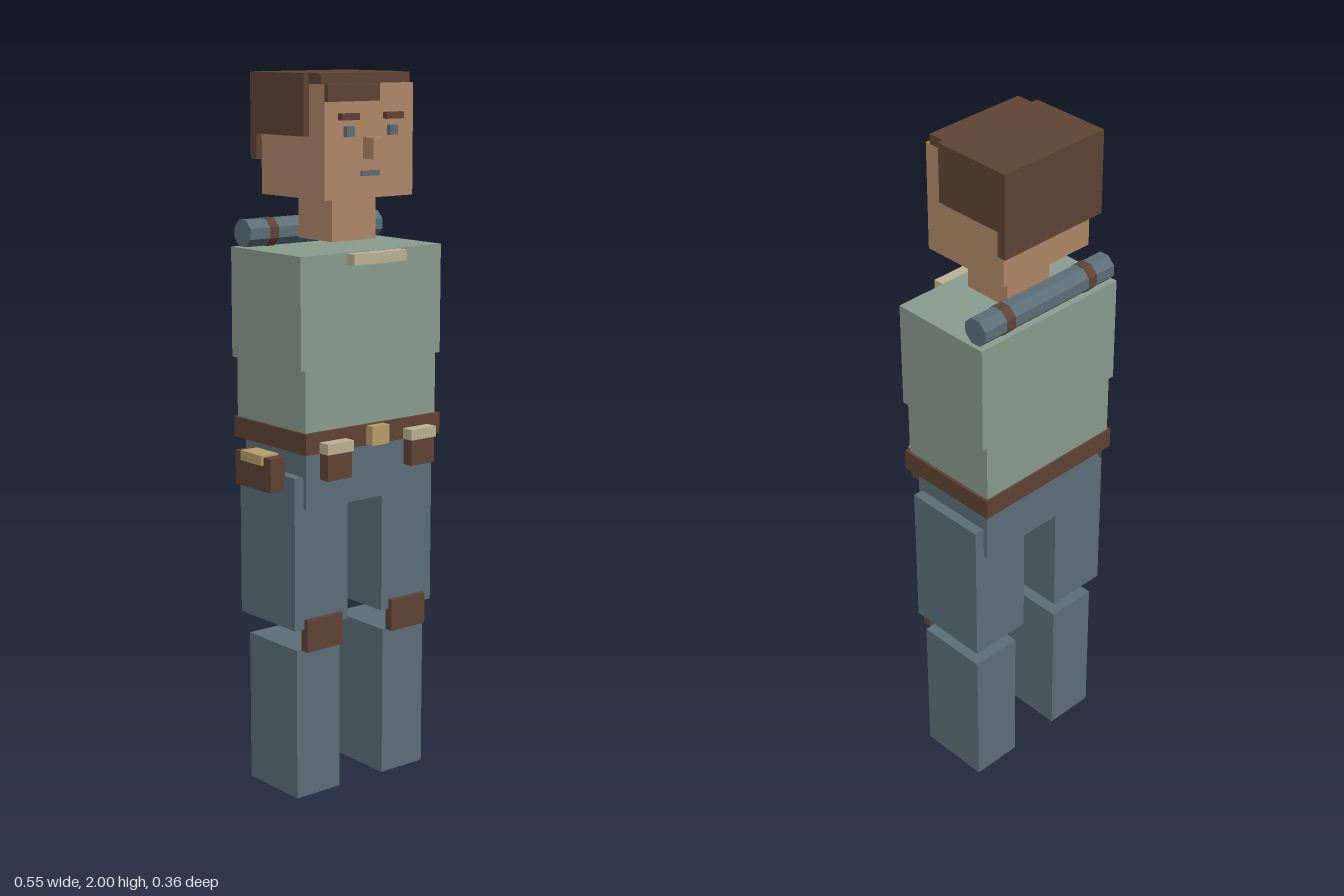
import * as THREE from 'three';

const mat = (name, color) => new THREE.MeshStandardMaterial({ name, color });

export function createModel() {
  const skin = mat('skin', 0xb08868);
  const brown = mat('brown leather and hair', 0x5f4434);
  const shirt = mat('sage shirt', 0x8a9c8f);
  const denim = mat('blue grey cloth', 0x5d6f79);
  const cream = mat('cream', 0xbdb294);
  const brass = mat('brass', 0xba9d69);

  const model = new THREE.Group();
  model.name = 'blockFigure';
  const CX = 0.025; // body midline

  // Box from its lower and upper limits on each axis
  const box = (name, material, [x0, x1], [y0, y1], [z0, z1], parent = model) => {
    const mesh = new THREE.Mesh(new THREE.BoxGeometry(x1 - x0, y1 - y0, z1 - z0), material);
    mesh.position.set((x0 + x1) / 2, (y0 + y1) / 2, (z0 + z1) / 2);
    mesh.name = name;
    parent.add(mesh);
    return mesh;
  };
  // Box centred on the body midline
  const mid = (name, material, width, y, z, parent) =>
    box(name, material, [CX - width / 2, CX + width / 2], y, z, parent);
  // Mirrored pair about the body midline; near and far are distances from it
  const pair = (name, material, near, far, y, z, parent) => {
    box(name + 'Left', material, [CX + near, CX + far], y, z, parent);
    box(name + 'Right', material, [CX - far, CX - near], y, z, parent);
  };
  const group = (name) => {
    const g = new THREE.Group();
    g.name = name;
    model.add(g);
    return g;
  };

  // Head and face
  const head = group('head');
  mid('skull', skin, 0.307, [1.67, 1.972], [-0.157, 0.118], head);
  mid('neck', skin, 0.153, [1.55, 1.67], [-0.093, 0.054], head);
  mid('nose', skin, 0.046, [1.775, 1.832], [0.117, 0.162], head);
  pair('eye', denim, 0.062, 0.089, [1.835, 1.862], [0.117, 0.132], head);
  pair('eyebrow', brown, 0.047, 0.108, [1.878, 1.896], [0.117, 0.134], head);
  mid('mouth', denim, 0.063, [1.729, 1.743], [0.117, 0.126], head);

  // Hair: cap, side panels, longer back panel and swept fringe
  const hair = group('hair');
  mid('hairTop', brown, 0.307, [1.97, 2], [-0.175, 0.103], hair);
  pair('hairSide', brown, 0.152, 0.172, [1.835, 2], [-0.175, 0.053], hair);
  mid('hairBack', brown, 0.344, [1.765, 2], [-0.182, -0.156], hair);
  box('fringe', brown, [-0.128, 0.05], [1.927, 1.972], [0.1, 0.131], hair);

  // Torso
  mid('upperTorso', shirt, 0.494, [1.225, 1.53], [-0.175, 0.134]);
  mid('lowerTorso', shirt, 0.462, [1.05, 1.225], [-0.174, 0.133]);
  mid('collar', cream, 0.185, [1.498, 1.528], [0.13, 0.168]);

  // Bedroll across the shoulders, held by two straps
  const roll = (name, material, radius, length, x) => {
    const geo = new THREE.CylinderGeometry(radius, radius, length, 8);
    geo.rotateY(Math.PI / 8).rotateZ(Math.PI / 2);
    const mesh = new THREE.Mesh(geo.toNonIndexed(), material);
    mesh.geometry.computeVertexNormals();
    mesh.position.set(x, 1.568, -0.141);
    mesh.name = name;
    model.add(mesh);
  };
  roll('bedroll', denim, 0.0395, 0.469, CX + 0.002);
  roll('bedrollStrapRight', brown, 0.0415, 0.028, -0.126);
  roll('bedrollStrapLeft', brown, 0.0415, 0.028, 0.17);

  // Belt with buckle and pouches
  const belt = group('belt');
  mid('beltBand', brown, 0.478, [0.997, 1.055], [-0.18, 0.145], belt);
  mid('buckle', brass, 0.06, [1, 1.053], [0.14, 0.172], belt);
  pair('pouch', brown, 0.107, 0.19, [0.925, 1.01], [0.143, 0.178], belt);
  pair('pouchFlap', cream, 0.103, 0.194, [0.998, 1.028], [0.143, 0.181], belt);
  box('hipPouch', brown, [-0.269, -0.22], [0.885, 0.98], [-0.1, 0.06], belt);
  box('hipPouchFlap', brass, [-0.275, -0.219], [0.957, 0.985], [-0.069, 0.028], belt);

  // Hips and legs
  mid('hips', denim, 0.434, [0.837, 0.998], [-0.156, 0.116]);
  pair('thigh', denim, 0.062, 0.247, [0.497, 0.928], [-0.143, 0.104]);
  pair('kneePad', brown, 0.09, 0.215, [0.433, 0.525], [0.09, 0.117]);
  pair('shin', denim, 0.079, 0.231, [0, 0.434], [-0.126, 0.09]);

  return model;
}
